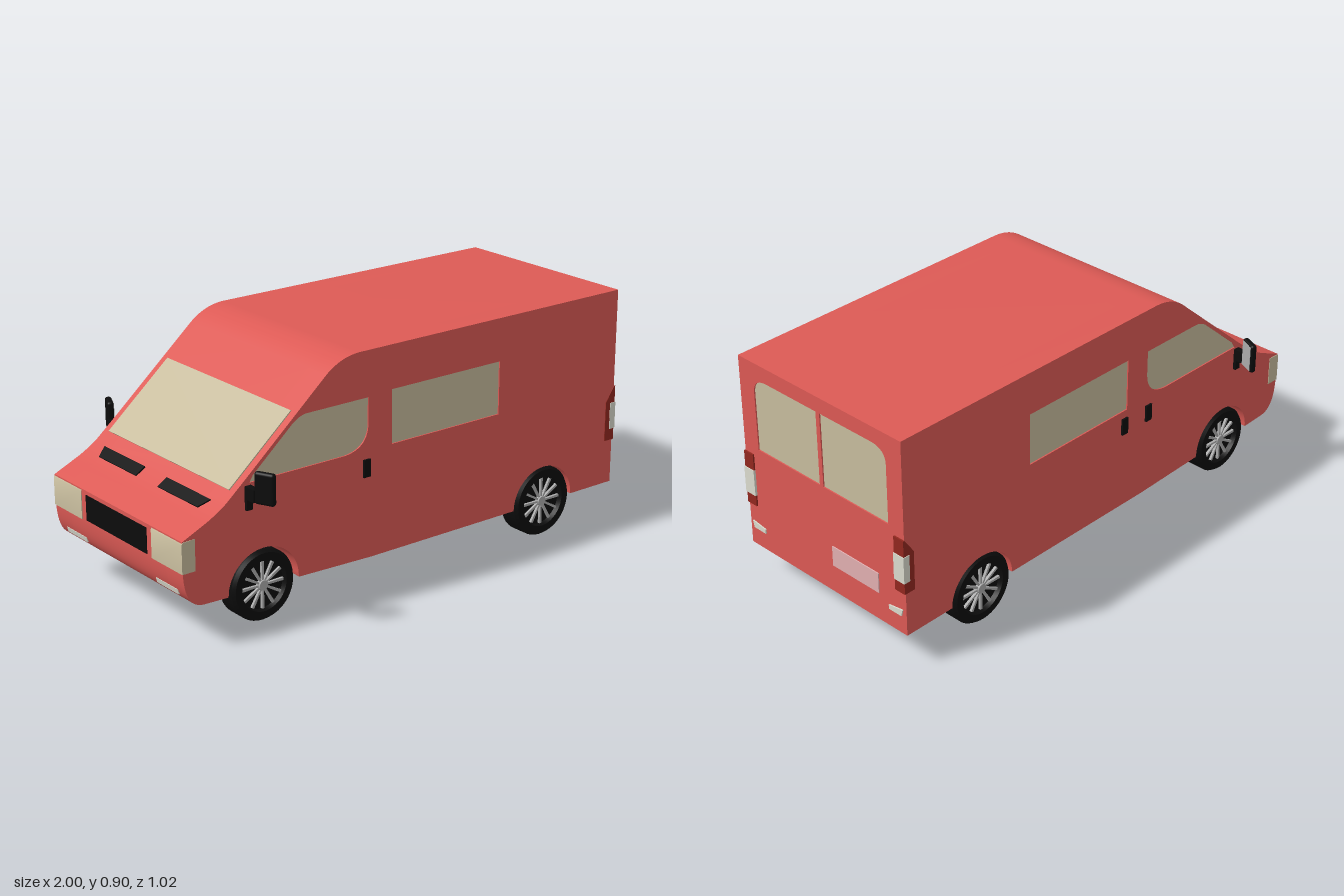
import * as THREE from 'three';
import { toCreasedNormals } from 'three/addons/utils/BufferGeometryUtils.js';
import { RoundedBoxGeometry } from 'three/addons/geometries/RoundedBoxGeometry.js';

const paint = (color) => new THREE.MeshStandardMaterial({ color });
const RED = paint(0xdd5a55), GLASS = paint(0xc8bd9e), BLACK = paint(0x0c0c0c), GREY = paint(0xaaaaaa);
const LAMP = paint(0xdcdccf), DARK_RED = paint(0x92281f), PLATE = paint(0xe2b0b2);

export function createModel() {
  const van = new THREE.Group();
  van.name = 'van';

  function add(name, geometry, material, parent = van) {
    const mesh = new THREE.Mesh(geometry, material);
    mesh.name = name;
    parent.add(mesh);
    return mesh;
  }
  // box given by its limits on each axis
  function block(name, material, x0, x1, y0, y1, z0, z1, parent = van) {
    const mesh = add(name, new THREE.BoxGeometry(x1 - x0, y1 - y0, z1 - z0), material, parent);
    mesh.position.set((x0 + x1) / 2, (y0 + y1) / 2, (z0 + z1) / 2);
    return mesh;
  }
  const polygon = (pts) => new THREE.Shape(pts.map((p) => new THREE.Vector2(...p)));
  // side outline extruded between two z values
  function extrude(shape, z0, z1) {
    const geo = new THREE.ExtrudeGeometry(shape, { depth: z1 - z0, bevelEnabled: false, curveSegments: 16 });
    return toCreasedNormals(geo.translate(0, 0, z0), 0.6);
  }

  // side outline of the body, with or without wheel arches
  function bodyOutline(arches) {
    const s = new THREE.Shape();
    s.moveTo(-1, 0.395);
    s.lineTo(-1, 0.28);
    s.bezierCurveTo(-0.995, 0.2, -0.975, 0.15, -0.91, 0.15);
    if (arches) {
      s.lineTo(-0.82, 0.147);
      s.absellipse(-0.67, 0.147, 0.148, 0.143, Math.PI, 0, true);
    }
    s.lineTo(-0.52, 0.142);
    s.lineTo(-0.2, 0.132);
    if (arches) {
      s.lineTo(0.485, 0.132);
      s.absellipse(0.632, 0.132, 0.147, 0.143, Math.PI, 0, true);
    }
    s.lineTo(0.98, 0.132);
    s.lineTo(0.98, 0.9);
    s.lineTo(-0.25, 0.9);
    s.quadraticCurveTo(-0.335, 0.9, -0.4, 0.847);
    s.lineTo(-0.738, 0.556);
    s.lineTo(-0.82, 0.487);
    s.quadraticCurveTo(-0.87, 0.452, -0.915, 0.433);
    s.closePath();
    return s;
  }
  function cabWindow() {
    const s = new THREE.Shape();
    s.moveTo(-0.725, 0.538);
    s.lineTo(-0.32, 0.538);
    s.quadraticCurveTo(-0.215, 0.545, -0.215, 0.64);
    s.lineTo(-0.215, 0.73);
    s.lineTo(-0.48, 0.73);
    s.quadraticCurveTo(-0.515, 0.73, -0.55, 0.7);
    s.lineTo(-0.71, 0.562);
    s.closePath();
    return s;
  }
  const sideWindow = polygon([[-0.11, 0.535], [0.395, 0.535], [0.395, 0.737], [-0.11, 0.737]]);

  // body: plain core between two side panels with arches and window openings
  add('bodyCore', extrude(bodyOutline(false), -0.3, 0.3), RED);
  const panel = bodyOutline(true);
  panel.holes.push(cabWindow(), sideWindow);
  for (const side of [1, -1]) {
    const span = (a, b) => (side > 0 ? [a, b] : [-b, -a]);
    add('sidePanel', extrude(panel, ...span(0.3, 0.4)), RED);
    add('cabWindow', extrude(cabWindow(), ...span(0.38, 0.395)), GLASS);
    add('sideWindow', extrude(sideWindow, ...span(0.38, 0.395)), GLASS);
    block('doorHandle', BLACK, -0.24, -0.21, 0.44, 0.505, ...span(0.39, 0.408));

    // lamps at the four corners
    const tail = polygon([[0.95, 0.305], [0.996, 0.305], [0.996, 0.52], [0.99, 0.52], [0.95, 0.46]]);
    add('tailLight', extrude(tail, ...span(0.355, 0.402)), DARK_RED);
    block('reversingLight', LAMP, 0.972, 0.999, 0.35, 0.455, ...span(0.354, 0.404));
    const head = polygon([[-1.003, 0.28], [-0.95, 0.28], [-0.95, 0.395], [-0.998, 0.393], [-1.003, 0.385]]);
    add('headlight', extrude(head, ...span(0.22, 0.402)), GLASS);
    const fog = block('fogLight', LAMP, -0.987, -0.96, 0.19, 0.21, ...span(0.22, 0.35));
    fog.rotation.z = 0.25;
    // rear reflector, drawn in (-z, y) and turned to face +x
    const reflector = polygon([[0.318, 0.205], [0.378, 0.205], [0.385, 0.232], [0.318, 0.222]].map(([u, v]) => [-side * u, v]));
    add('rearReflector', extrude(reflector, 0.985, 0.995).rotateY(Math.PI / 2), LAMP);

    // door mirror on a short arm, swept backwards
    const mirror = new THREE.Group();
    mirror.name = 'doorMirror';
    mirror.position.set(-0.715, 0.537, side * 0.476);
    mirror.rotation.y = side * 0.43;
    add('mirrorShell', new RoundedBoxGeometry(0.024, 0.115, 0.076, 3, 0.01), BLACK, mirror);
    block('mirrorGlass', GREY, 0.008, 0.0135, -0.05, 0.05, -0.03, 0.03, mirror);
    van.add(mirror);
    block('mirrorArm', BLACK, -0.745, -0.72, 0.485, 0.53, ...span(0.395, 0.45));
    block('mirrorFoot', BLACK, -0.745, -0.72, 0.445, 0.53, ...span(0.395, 0.412));
  }
  block('slidingDoorHandle', BLACK, -0.11, -0.08, 0.44, 0.505, -0.408, -0.39);

  // rear doors: skin with two window openings, turned to face +x
  function rearWindow(m) {
    const s = new THREE.Shape();
    s.moveTo(m * 0.009, 0.55);
    s.lineTo(m * 0.327, 0.55);
    s.lineTo(m * 0.327, 0.78);
    s.quadraticCurveTo(m * 0.327, 0.84, m * 0.255, 0.84);
    s.lineTo(m * 0.009, 0.84);
    s.closePath();
    return s;
  }
  const rear = polygon([[-0.4, 0.132], [0.4, 0.132], [0.4, 0.9], [-0.4, 0.9]]);
  rear.holes.push(rearWindow(1), rearWindow(-1));
  add('rearDoors', extrude(rear, 0.98, 0.99).rotateY(Math.PI / 2), RED);
  for (const m of [1, -1]) add('rearWindow', extrude(rearWindow(m), 0.975, 0.985).rotateY(Math.PI / 2), GLASS);
  block('numberPlate', PLATE, 0.985, 0.994, 0.245, 0.325, -0.27, -0.04);

  // thin sheet lying on the sloping front: outline in (distance along slope, -z)
  function sheet(name, pts, material, x0, y0, x1, y1) {
    const dir = new THREE.Vector3(x1 - x0, y1 - y0, 0).normalize();
    const normal = new THREE.Vector3(-dir.y, dir.x, 0);
    const basis = new THREE.Matrix4().makeBasis(dir, new THREE.Vector3(0, 0, -1), normal).setPosition(x0, y0, 0);
    add(name, extrude(polygon(pts), -0.01, 0.004).applyMatrix4(basis), material);
  }
  const slope = Math.hypot(0.26, 0.223);
  sheet('windscreen', [[0, -0.37], [slope, -0.37], [slope, 0.37], [0, 0.37]], GLASS, -0.785, 0.516, -0.525, 0.739);
  for (const m of [1, -1]) {
    const vent = [[0, m * 0.068], [0.046, m * 0.068], [0.046, m * 0.328], [0, m * 0.305]];
    sheet('bonnetVent', vent, BLACK, -0.87, 0.456, -0.83, 0.481);
  }
  block('grille', BLACK, -1.003, -0.98, 0.285, 0.38, -0.19, 0.19);

  // wheel with axis along z, outer face towards +z
  function wheel(r) {
    const g = new THREE.Group();
    g.name = 'wheel';
    const profile = [[0.001, -0.048], [r * 0.92, -0.048], [r, -0.036], [r, 0.034], [r * 0.93, 0.047],
      [r * 0.72, 0.047], [r * 0.69, 0.028], [0.001, 0.028]].map((p) => new THREE.Vector2(...p));
    const tyre = new THREE.LatheGeometry(profile, 40).rotateX(Math.PI / 2);
    // lathe axis y becomes z
    add('tyre', toCreasedNormals(tyre, 0.6), BLACK, g);
    const spoke = polygon([[-0.0035, 0.015], [0.0035, 0.015], [0.005, r * 0.67], [-0.005, r * 0.67]]);
    for (let i = 0; i < 12; i++) {
      add('spoke', extrude(spoke, 0.026, 0.038), GREY, g).rotation.z = (i * Math.PI) / 6;
    }
    const hub = add('hub', new THREE.CylinderGeometry(0.018, 0.024, 0.02, 20).rotateX(Math.PI / 2), GREY, g);
    hub.position.z = 0.033;
    return g;
  }
  for (const [x, y, r] of [[-0.67, 0.15, 0.13], [0.632, 0.136, 0.136]]) {
    for (const side of [1, -1]) {
      const w = wheel(r);
      w.position.set(x, y, side * 0.356);
      w.rotation.y = side > 0 ? 0 : Math.PI;
      van.add(w);
    }
  }
  return van;
}
